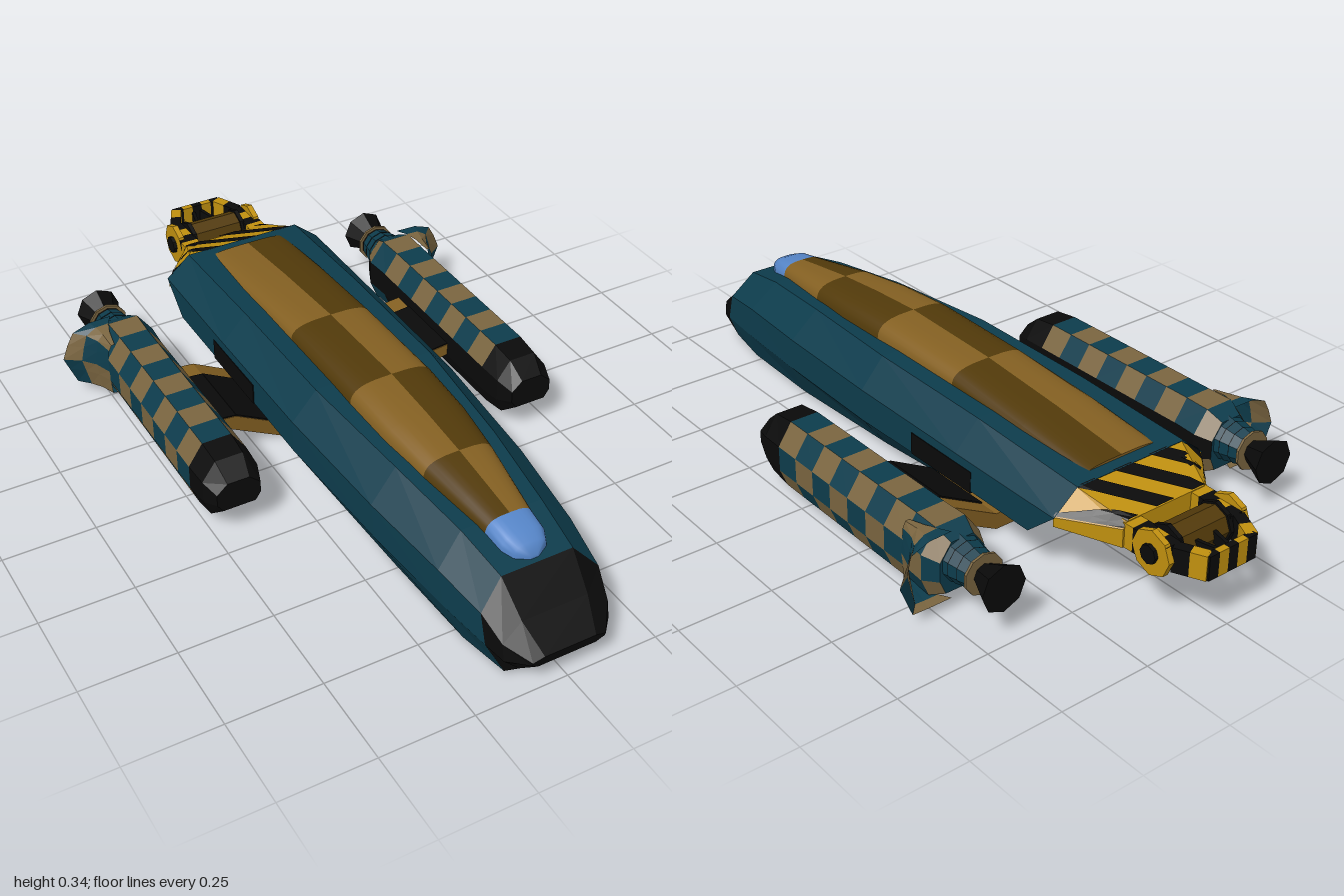
import * as THREE from 'three';
import { toCreasedNormals } from 'three/addons/utils/BufferGeometryUtils.js';

const paint = (name, color, side = THREE.FrontSide) => {
  const m = new THREE.MeshStandardMaterial({ color, side });
  m.name = name;
  return m;
};

export function createModel() {
  const model = new THREE.Group();
  model.name = 'spacecraft';
  const teal = paint('teal', 0x0d3c4c), black = paint('black', 0x0a0a0a);
  const gold = paint('gold', 0x846022), darkGold = paint('dark gold', 0x523a0a);
  const tan = paint('tan', 0x7a6540, THREE.DoubleSide), yellow = paint('yellow', 0xc0900f);
  const blue = paint('blue', 0x5585c8);
  const tealSheet = paint('teal sheet', 0x0d3c4c, THREE.DoubleSide);

  const V = (x, y, z) => new THREE.Vector3(x, y, z);
  const mesh = (name, geo, mat, parent = model) => {
    const m = new THREE.Mesh(geo, mat);
    m.name = name;
    parent.add(m);
    return m;
  };

  // Skin rings (anticlockwise from +z, ordered by rising z); pick(i, j) chooses a material index
  function loft(rings, { pick = () => 0, count = 1, closed = true, caps = [-1, -1], crease = 0 } = {}) {
    const bins = Array.from({ length: count }, () => []);
    const tri = (k, ...p) => p.forEach((v) => bins[k].push(v.x, v.y, v.z));
    const n = rings[0].length;
    for (let i = 0; i < rings.length - 1; i++) {
      for (let j = 0; j < (closed ? n : n - 1); j++) {
        const a = rings[i][j], b = rings[i][(j + 1) % n];
        const c = rings[i + 1][(j + 1) % n], d = rings[i + 1][j];
        const k = pick(i, j);
        tri(k, a, b, c);
        tri(k, a, c, d);
      }
    }
    const first = rings[0], last = rings[rings.length - 1];
    for (let j = 1; j < n - 1; j++) {
      if (caps[0] >= 0) tri(caps[0], first[0], first[j + 1], first[j]);
      if (caps[1] >= 0) tri(caps[1], last[0], last[j], last[j + 1]);
    }
    const g = new THREE.BufferGeometry();
    g.setAttribute('position', new THREE.Float32BufferAttribute(bins.flat(), 3));
    let start = 0;
    if (count > 1) bins.forEach((b, k) => { g.addGroup(start, b.length / 3, k); start += b.length / 3; });
    g.computeVertexNormals();
    return crease ? toCreasedNormals(g, crease) : g;
  }

  // Bake a mirrored copy of a group across x = 0
  function mirrored(group, name) {
    const out = new THREE.Group();
    out.name = name;
    group.children.forEach((m) => {
      m.updateMatrix();
      const g = m.geometry.index ? m.geometry.toNonIndexed() : m.geometry.clone();
      g.applyMatrix4(m.matrix).scale(-1, 1, 1);
      const p = g.attributes.position, a = new THREE.Vector3(), b = new THREE.Vector3();
      for (let i = 0; i < p.count; i += 3) {
        a.fromBufferAttribute(p, i + 1);
        b.fromBufferAttribute(p, i + 2);
        p.setXYZ(i + 1, b.x, b.y, b.z);
        p.setXYZ(i + 2, a.x, a.y, a.z);
      }
      g.computeVertexNormals();
      mesh(m.name, g, m.material, out);
    });
    return out;
  }

  // Square bar between two points
  function bar(name, p, q, w, h, mat) {
    const m = mesh(name, new THREE.BoxGeometry(w, h, p.distanceTo(q)), mat);
    m.position.copy(p).lerp(q, 0.5);
    m.lookAt(q);
  }

  // Eight-sided hull: z at top and bottom, half widths, heights, height where the slant ends
  const hullRing = ([zt, zb, b, w, t, y0, y1, y2, y3, yt = y3]) => {
    const z = (y) => zb + (zt - zb) * Math.min(1, (y - y0) / (yt - y0));
    const half = [[b, y0], [w, y1], [w, y2], [t, y3]];
    return [...half.map(([x, y]) => V(x, y, z(y))), ...half.reverse().map(([x, y]) => V(-x, y, z(y)))];
  };
  const hull = [
    [-0.665, -0.47, 0.12, 0.24, 0.17, 0.05, 0.13, 0.21, 0.268, 0.2],
    [-0.3, -0.3, 0.15, 0.24, 0.17, 0.04, 0.13, 0.21, 0.284],
    [0.1, 0.1, 0.16, 0.237, 0.168, 0.02, 0.12, 0.21, 0.288],
    [0.45, 0.5, 0.16, 0.215, 0.14, 0.005, 0.11, 0.2, 0.278],
    [0.7, 0.78, 0.145, 0.185, 0.112, 0, 0.095, 0.185, 0.258],
    [0.85, 0.92, 0.122, 0.162, 0.098, 0.003, 0.085, 0.163, 0.231],
    [0.93, 0.955, 0.105, 0.145, 0.09, 0.035, 0.07, 0.115, 0.155],
    [1, 0.99, 0.08, 0.1, 0.07, 0.06, 0.075, 0.085, 0.095],
  ].map(hullRing);
  mesh('hull', loft(hull.slice(0, 6), { caps: [0, -1] }), teal);
  mesh('nose', loft(hull.slice(5), { caps: [-1, 0] }), black);

  // Domed canopy with two-tone panels and a blue windshield
  const arch = ([z, hw, base, top]) => Array.from({ length: 15 }, (_, i) => {
    const a = (i / 14) * Math.PI, c = Math.cos(a);
    return V(hw * Math.sign(c) * Math.abs(c) ** 0.6, base + (top - base) * Math.sin(a) ** 0.6, z);
  });
  const canopy = [
    [-0.63, 0.115, 0.255, 0.276], [-0.4, 0.12, 0.265, 0.302], [-0.13, 0.12, 0.27, 0.325],
    [0.19, 0.12, 0.27, 0.336], [0.36, 0.115, 0.265, 0.328], [0.51, 0.1, 0.25, 0.316],
    [0.64, 0.08, 0.24, 0.3], [0.73, 0.066, 0.235, 0.288], [0.79, 0.06, 0.233, 0.28],
    [0.82, 0.045, 0.232, 0.268], [0.838, 0.012, 0.232, 0.242],
  ].map(arch);
  const row = [0, 0, 1, 2, 2, 3, 3];
  mesh('canopy', loft(canopy.slice(0, 8), {
    count: 2, closed: false, crease: 0.7, caps: [0, -1],
    pick: (i, j) => (row[i] + (j < 7 ? 1 : 0)) % 2,
  }), [gold, darkGold]);
  mesh('windshield', loft(canopy.slice(7), { closed: false, crease: 0.9, caps: [-1, 0] }), blue);

  // Bent wing running under the hull
  const wing = new THREE.Shape([
    [-0.37, 0.09], [-0.32, 0.08], [-0.17, 0], [0.17, 0], [0.32, 0.08], [0.37, 0.09],
    [0.37, 0.122], [0.3, 0.115], [0.17, 0.045], [-0.17, 0.045], [-0.3, 0.115], [-0.37, 0.122],
  ].map(([x, y]) => new THREE.Vector2(x, y)));
  mesh('wing', new THREE.ExtrudeGeometry(wing, { depth: 0.27, bevelEnabled: false }).translate(0, 0, -0.375), gold);

  // Everything carried on one side: pod, flare, exhaust, dark panels
  const pod = new THREE.Group();
  pod.name = 'leftPod';
  const cx = 0.435, cy = 0.125;
  const podRing = (z, s = 1, sy = s) =>
    [[0.06, -0.09], [0.08, -0.04], [0.08, 0.03], [0.04, 0.089], [-0.04, 0.089], [-0.08, 0.03], [-0.08, -0.04], [-0.06, -0.09]]
      .map(([x, y]) => V(cx + x * s, cy + y * sy, z));
  const body = [podRing(-0.575, 0.8, 0.75)];
  for (let i = 0; i <= 8; i++) body.push(podRing(-0.53 + i * 0.075, i === 0 ? 1.06 : 1, 1));
  mesh('podBody', loft(body, {
    count: 3, caps: [1, -1],
    pick: (i, j) => (j === 5 || (j === 6 && i > 1) ? 2 : (i + j) % 2),
  }), [tan, teal, black], pod);
  mesh('podNose', loft([podRing(0.07), podRing(0.14, 0.95, 0.9), podRing(0.19, 0.75, 0.45)], { caps: [-1, 0] }), black, pod);

  // Curved flare sweeping out from the outer side
  const flareRing = (z, out, h) =>
    [[-0.4, -1], [0.25, -1], [0.67, -0.98], [0.86, -0.45], [1, -0.05], [0.85, 0.4], [0.67, 0.78], [0.2, 0.98], [-0.4, 1]]
      .map(([x, y]) => V(0.5 + x * out, 0.121 + y * h, z));
  mesh('podFlare', loft([flareRing(-0.565, 0.105, 0.092), flareRing(-0.535, 0.062, 0.092), flareRing(-0.5, 0.034, 0.088), flareRing(-0.45, 0.016, 0.08)],
    { closed: false, count: 2, pick: (i, j) => ((j >> 1) + (i > 0 ? 1 : 0)) % 2 }), [tan, tealSheet], pod);

  // Ribbed neck, collar and flared nozzle along z
  const turned = (name, r0, r1, z0, z1, mat, sides = 8) => {
    const g = new THREE.CylinderGeometry(r1, r0, z1 - z0, sides).toNonIndexed();
    g.rotateX(Math.PI / 2).translate(cx, 0.135, (z0 + z1) / 2);
    g.computeVertexNormals();
    mesh(name, g, mat, pod);
  };
  for (let i = 0; i < 3; i++) {
    const z = -0.595 - i * 0.027, r = 0.062 - i * 0.005;
    turned('neckRib', r - 0.006, r, z + 0.006, z + 0.03, teal, 10);
    turned('neckGroove', r - 0.006, r - 0.006, z, z + 0.006, black, 10);
  }
  turned('collar', 0.055, 0.055, -0.655, -0.648, tan, 10);
  turned('nozzle', 0.063, 0.03, -0.725, -0.655, black);

  // Dark panels on the wing roots and hull side
  for (const [x, y, length, angle] of [[0.235, 0.081, 0.148, 0.494], [0.335, 0.119, 0.07, 0.1]]) {
    const panel = mesh('wingPanel', new THREE.BoxGeometry(length, 0.006, 0.21), black, pod);
    panel.position.set(x, y, -0.212);
    panel.rotation.z = angle;
  }
  mesh('hullPanel', new THREE.BoxGeometry(0.008, 0.06, 0.24), black, pod).position.set(0.2375, 0.155, -0.24);
  model.add(pod, mirrored(pod, 'rightPod'));

  // Sloping tail deck; v runs from its rear (0) to the hull (1)
  const mix = THREE.MathUtils.lerp;
  const deckAt = (v) => ({
    z: mix(-0.785, -0.66, v), w: mix(0.135, 0.238, v), t: mix(0.125, 0.168, v),
    low: mix(0.15, 0.185, v), mid: mix(0.2, 0.21, v), high: mix(0.218, 0.265, v),
  });
  const deckRing = (v) => {
    const { z, w, t, low, mid, high } = deckAt(v);
    return [V(w, low, z), V(w, mid, z), V(t, high, z), V(-t, high, z), V(-w, mid, z), V(-w, low, z)];
  };
  mesh('tailDeck', loft([deckRing(0), deckRing(1)], { caps: [0, 0] }), yellow);

  // Diagonal hazard stripes above and below the deck
  const onDeck = (x, v, above) => {
    const { z, w, t, low, mid, high } = deckAt(v);
    const s = THREE.MathUtils.clamp(x, -w, w);
    const drop = Math.max(0, Math.abs(s) - t) / (w - t) * (high - mid);
    return V(s, above ? high - drop + 0.004 : low - 0.004, z);
  };
  const steps = [0, 0.25, 0.5, 0.75, 1];
  for (let x = -0.37; x < 0.2; x += 0.115) {
    for (const above of [true, false]) {
      const rings = steps.map((v) => {
        const line = steps.map((u) => onDeck(x + 0.057 * (1 - u) + v * 0.14, v, above));
        return above ? line : line.reverse();
      });
      mesh('deckStripe', loft(rings, { closed: false }), black);
    }
  }

  // Striped towing frame behind the deck
  const frame = [V(0.106, 0.183, -0.775), V(0.102, 0.183, -0.915), V(0.066, 0.183, -0.99)];
  for (const s of [-1, 1]) {
    for (let k = 0; k < 2; k++) {
      const n = k ? 2 : 4;
      for (let i = 0; i < n; i++) {
        const p = frame[k].clone().lerp(frame[k + 1], i / n), q = frame[k].clone().lerp(frame[k + 1], (i + 1) / n);
        p.x *= s;
        q.x *= s;
        bar('frameArm', p, q, k ? 0.03 : 0.05, 0.066, (i + k) % 2 ? black : yellow);
      }
    }
    bar('frameStrut', V(s * 0.012, 0.183, -0.985), V(s * 0.03, 0.183, -0.91), 0.01, 0.03, black);
  }
  for (let i = 0; i < 5; i++) {
    bar('frameEnd', V(-0.075 + i * 0.03, 0.183, -0.991), V(-0.045 + i * 0.03, 0.183, -0.991), 0.018, 0.066, i % 2 ? yellow : black);
  }

  // Roller held between the arms
  const roller = (name, r, half, x, mat) => {
    const g = new THREE.CylinderGeometry(r, r, half * 2, 8).toNonIndexed();
    g.rotateZ(Math.PI / 2).translate(x, 0.18, -0.87);
    g.computeVertexNormals();
    mesh(name, g, mat);
  };
  roller('roller', 0.05, 0.075, 0, darkGold);
  for (const s of [-1, 1]) {
    roller('rollerEnd', 0.056, 0.006, s * 0.077, black);
    roller('rollerHub', 0.06, 0.008, s * 0.122, yellow);
    roller('rollerCap', 0.025, 0.008, s * 0.132, black);
  }
  return model;
}
